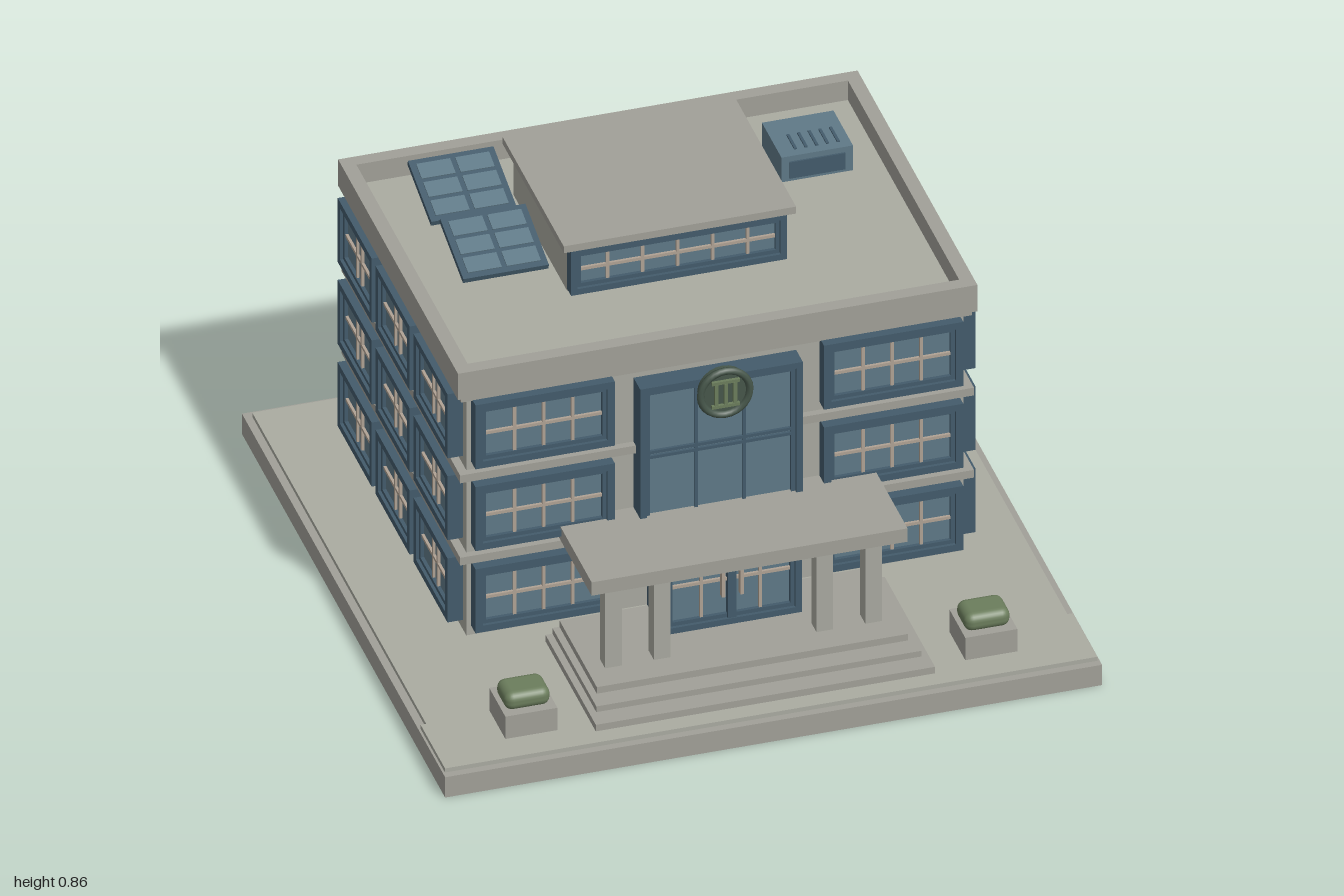
import * as THREE from 'three';
import { RoundedBoxGeometry } from 'three/addons/geometries/RoundedBoxGeometry.js';

const mat = (name, hex) => {
  const m = new THREE.MeshStandardMaterial({ color: hex });
  m.name = name;
  return m;
};

export function createModel() {
  const stone = mat('wall stone', 0xa9a9a0);
  const trim = mat('trim concrete', 0xa1a098);
  const paving = mat('paving', 0xaaaba1);
  const frame = mat('blue frame', 0x435b6b);
  const glass = mat('glass', 0x5f7987);
  const tan = mat('tan mullion', 0xb0a294);
  const leaf = mat('foliage', 0x6b7d5c);
  const bronze = mat('dark green metal', 0x46564a);

  const model = new THREE.Group();
  model.name = 'officeBuilding';
  // the whole site stands diagonally on its plot
  const site = new THREE.Group();
  site.name = 'site';
  site.rotation.y = Math.PI / 4;
  model.add(site);

  const add = (parent, name, geo, m, x = 0, y = 0, z = 0) => {
    const o = new THREE.Mesh(geo, m);
    o.name = name;
    o.position.set(x, y, z);
    parent.add(o);
    return o;
  };
  // box given by its limits on each axis
  const box = (parent, name, m, x0, x1, y0, y1, z0, z1) =>
    add(parent, name, new THREE.BoxGeometry(x1 - x0, y1 - y0, z1 - z0), m,
      (x0 + x1) / 2, (y0 + y1) / 2, (z0 + z1) / 2);

  // rectangular ring standing in the xy plane, extruded along +z
  const ringGeo = (w, h, t, depth) => {
    const s = new THREE.Shape([[-1, -1], [1, -1], [1, 1], [-1, 1]]
      .map(([a, b]) => new THREE.Vector2(a * w / 2, b * h / 2)));
    s.holes.push(new THREE.Path([[-1, -1], [-1, 1], [1, 1], [1, -1]]
      .map(([a, b]) => new THREE.Vector2(a * (w / 2 - t), b * (h / 2 - t)))));
    return new THREE.ExtrudeGeometry(s, { depth, bevelEnabled: false });
  };

  // framed window facing +z, with vertical bars at fractions of its width
  const makeWindow = (name, w, h, bars, rows, barMat, depth = 0.035, t = 0.016) => {
    const g = new THREE.Group();
    g.name = name;
    add(g, 'outerFrame', ringGeo(w, h, t, depth), frame);
    add(g, 'sash', ringGeo(w - 2 * t, h - 2 * t, 0.009, depth - 0.007), frame);
    box(g, 'glass', glass, -w / 2 + t, w / 2 - t, -h / 2 + t, h / 2 - t, 0, depth - 0.015);
    const iw = w - 2 * t - 0.018, ih = h - 2 * t - 0.018;
    for (const f of bars) add(g, 'mullion', new THREE.BoxGeometry(0.007, ih, 0.008), barMat, f * iw, 0, depth - 0.013);
    for (const f of rows) add(g, 'transom', new THREE.BoxGeometry(iw, 0.007, 0.008), barMat, 0, f * ih, depth - 0.013);
    return g;
  };
  const place = (o, x, y, z, ry = 0) => {
    o.position.set(x, y, z);
    o.rotation.y = ry;
    site.add(o);
    return o;
  };

  // plot and paving
  box(site, 'basePlate', trim, -0.707, 0.707, 0, 0.05, -0.707, 0.707);
  box(site, 'courtPaving', paving, -0.69, 0.69, 0.05, 0.06, -0.69, 0.52);
  box(site, 'frontPaving', paving, -0.702, 0.702, 0.05, 0.06, 0.52, 0.69);

  // storeys and floor bands
  box(site, 'walls', stone, -0.535, 0.535, 0.107, 0.715, -0.505, 0.298);
  for (const y of [0.305, 0.508])
    box(site, 'floorBand', trim, -0.553, 0.553, y - 0.012, y + 0.007, -0.512, 0.314);
  box(site, 'corniceBand', trim, -0.55, 0.55, 0.692, 0.72, -0.51, 0.31);

  // parapet around the flat roof
  const parapet = add(site, 'parapet', ringGeo(1.118, 0.834, 0.03, 0.065), trim, 0, 0.705, -0.099);
  parapet.rotation.x = -Math.PI / 2;
  box(site, 'roofDeck', paving, -0.535, 0.535, 0.712, 0.722, -0.492, 0.294);

  // windows on each storey
  for (const y of [0.209, 0.412, 0.614]) {
    for (const s of [-1, 1]) {
      place(makeWindow('frontWindow', 0.3, 0.158, [-0.25, 0, 0.25], [0], tan), s * 0.375, y, 0.295);
      for (const z of [-0.372, -0.108, 0.156])
        place(makeWindow('sideWindow', 0.236, 0.158, [-0.09, 0.09], [0], tan), s * 0.533, y, z, s * Math.PI / 2);
    }
  }

  // tall glazing above the entrance
  place(makeWindow('stairGlazing', 0.35, 0.345, [-0.17, 0.17], [-0.02, 0.02], frame, 0.05, 0.014), 0, 0.5, 0.295);

  // round ornament with upright bars
  const ornament = new THREE.Group();
  ornament.name = 'roundOrnament';
  add(ornament, 'disc', new THREE.CylinderGeometry(0.054, 0.054, 0.02, 24).rotateX(Math.PI / 2), bronze);
  add(ornament, 'rim', new THREE.TorusGeometry(0.053, 0.008, 8, 28), bronze, 0, 0, 0.01);
  for (const x of [-0.02, 0, 0.02])
    add(ornament, 'bar', new THREE.BoxGeometry(0.008, 0.05, 0.01), leaf, x, 0, 0.012);
  for (const y of [-0.029, 0.029])
    add(ornament, 'rail', new THREE.BoxGeometry(0.06, 0.007, 0.01), leaf, 0, y, 0.012);
  place(ornament, 0, 0.647, 0.36);

  // entrance lobby with double doors
  box(site, 'lobby', frame, -0.146, 0.146, 0.107, 0.325, 0.29, 0.395);
  place(makeWindow('entranceDoors', 0.3, 0.214, [-0.25, 0.25], [0], tan, 0.03, 0.014), 0, 0.215, 0.39);
  box(site, 'doorPost', frame, -0.009, 0.009, 0.12, 0.312, 0.4, 0.418);
  for (const s of [-1, 1])
    box(site, 'doorHandle', tan, s * 0.02 - 0.004, s * 0.02 + 0.004, 0.18, 0.25, 0.41, 0.425);

  // canopy, columns and steps
  box(site, 'canopy', trim, -0.34, 0.34, 0.32, 0.353, 0.295, 0.54);
  for (const x of [-0.28, -0.175, 0.175, 0.28])
    box(site, 'column', stone, x - 0.018, x + 0.018, 0.1, 0.322, 0.462, 0.498);
  [[0.365, 0.076, 0.65], [0.35, 0.09, 0.605], [0.335, 0.106, 0.56]].forEach(([w, top, z]) =>
    box(site, 'step', trim, -w, w, 0.058, top, 0.3, z));

  // planters with clipped shrubs
  for (const s of [-1, 1]) {
    box(site, 'planter', trim, s * 0.495 - 0.056, s * 0.495 + 0.056, 0.058, 0.115, 0.51, 0.622);
    add(site, 'shrub', new RoundedBoxGeometry(0.098, 0.042, 0.078, 3, 0.018), leaf, s * 0.495, 0.131, 0.566);
  }

  // rooftop room
  box(site, 'roofRoom', stone, -0.232, 0.232, 0.715, 0.842, -0.352, 0.022);
  box(site, 'roofRoomSlab', trim, -0.25, 0.25, 0.84, 0.857, -0.37, 0.055);
  place(makeWindow('roofRoomWindow', 0.465, 0.112, [-0.36, -0.18, 0, 0.18, 0.36], [0], tan, 0.03, 0.014), 0, 0.784, 0.02);

  // tilted solar panels on posts
  for (const z of [-0.306, -0.083]) {
    const panel = new THREE.Group();
    panel.name = 'solarPanel';
    const tilted = new THREE.Group();
    tilted.name = 'panelFace';
    tilted.rotation.x = 0.28;
    panel.add(tilted);
    add(tilted, 'panelFrame', new THREE.BoxGeometry(0.184, 0.012, 0.17), frame);
    for (const x of [-0.042, 0.042])
      for (const dz of [-0.051, 0, 0.051])
        add(tilted, 'cell', new THREE.BoxGeometry(0.073, 0.005, 0.041), glass, x, 0.006, dz);
    for (const x of [-0.05, 0.05])
      add(panel, 'post', new THREE.BoxGeometry(0.012, 0.078, 0.012), frame, x, -0.043, 0);
    place(panel, -0.357, 0.798, z);
  }

  // air-handling unit
  box(site, 'airUnit', glass, 0.308, 0.462, 0.715, 0.783, -0.37, -0.234);
  box(site, 'airUnitGrille', frame, 0.325, 0.445, 0.73, 0.77, -0.236, -0.23);
  for (let i = 0; i < 5; i++) {
    const x = 0.345 + i * 0.023;
    box(site, 'airUnitSlit', frame, x - 0.003, x + 0.003, 0.78, 0.786, -0.31, -0.255);
  }
  return model;
}
